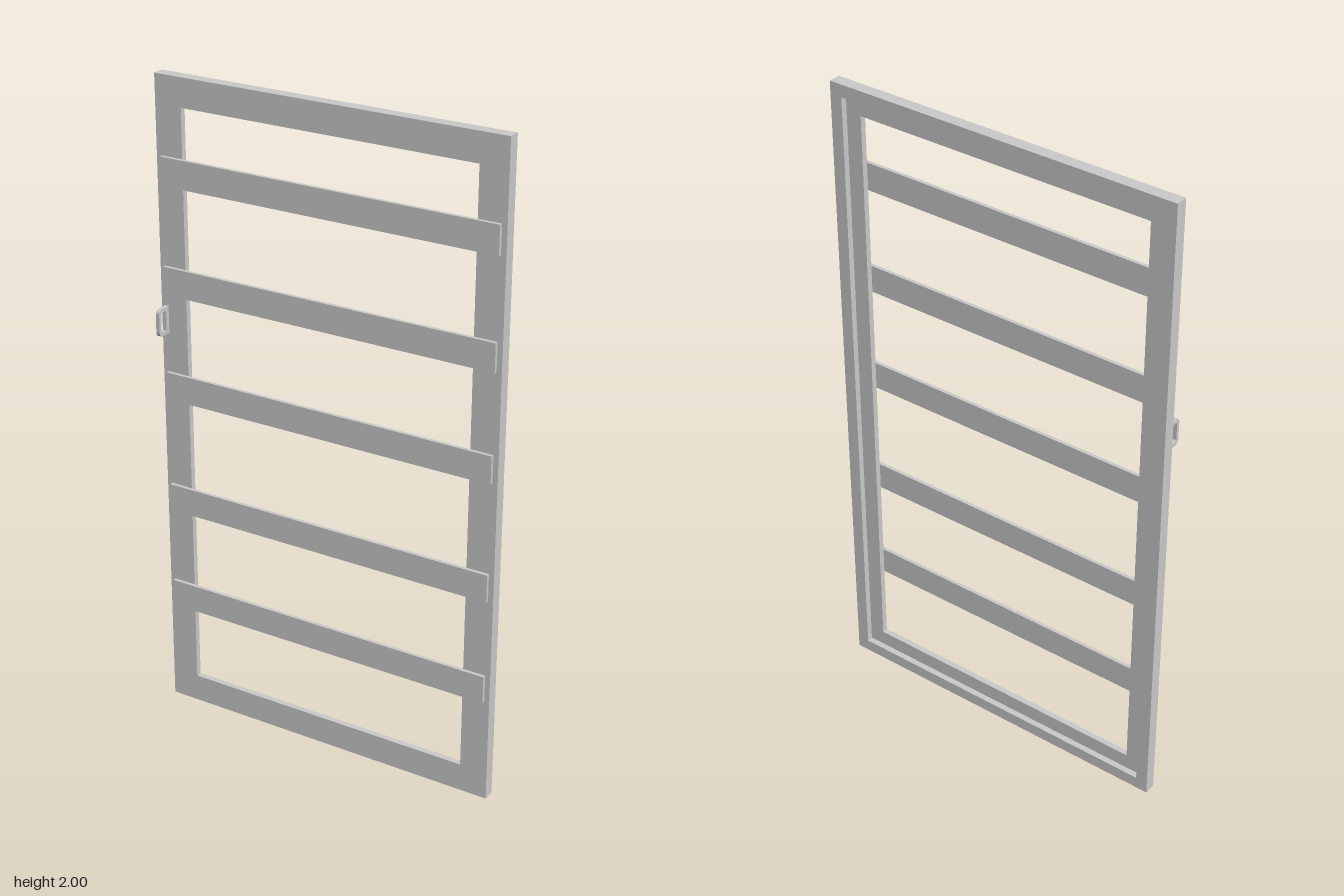
import * as THREE from 'three';

const material = new THREE.MeshStandardMaterial({ color: 0xcccccc, flatShading: true });

// Adds a rectangle, optionally with cut corners on its right side, to a Shape or Path.
function rect(path, x0, y0, x1, y1, cut = 0) {
  path.moveTo(x0, y0);
  path.lineTo(x1 - cut, y0);
  if (cut) path.quadraticCurveTo(x1, y0, x1, y0 + cut);
  else path.lineTo(x1, y0);
  path.lineTo(x1, y1 - cut);
  if (cut) path.quadraticCurveTo(x1, y1, x1 - cut, y1);
  else path.lineTo(x1, y1);
  path.lineTo(x0, y1);
  path.closePath();
  return path;
}

// Mitred picture frame: an L-shaped section carried around the four corners.
// Each section point is [inset from the outer edge, z].
function mitredFrame(width, height, section) {
  const positions = [];
  const corner = (k, [inset, z]) => {
    const sx = k === 0 || k === 3 ? -1 : 1;
    const sy = k < 2 ? -1 : 1;
    return [sx * (width / 2 - inset), height / 2 + sy * (height / 2 - inset), z];
  };
  for (let k = 0; k < 4; k++) {
    const next = (k + 1) % 4;
    section.forEach((p, i) => {
      const q = section[(i + 1) % section.length];
      const a = corner(k, p), b = corner(next, p), c = corner(next, q), d = corner(k, q);
      positions.push(...a, ...b, ...c, ...a, ...c, ...d);
    });
  }
  const geometry = new THREE.BufferGeometry();
  geometry.setAttribute('position', new THREE.Float32BufferAttribute(positions, 3));
  geometry.computeVertexNormals();
  return geometry;
}

export function createModel() {
  const model = new THREE.Group();
  model.name = 'slattedDoor';
  const add = (name, geometry) => {
    const mesh = new THREE.Mesh(geometry, material);
    mesh.name = name;
    model.add(mesh);
    return mesh;
  };

  // Frame: flat at the front, with a rebate around the opening at the back
  const front = -0.005, step = -0.023, back = -0.042;
  add('frame', mitredFrame(1.108, 2, [
    [0, back], [0, front], [0.087, front], [0.087, step], [0.038, step], [0.038, back],
  ]));

  // Cross slats fixed to the front
  const slats = new THREE.Group();
  slats.name = 'slats';
  model.add(slats);
  for (const y of [0.369, 0.697, 1.063, 1.393, 1.722]) {
    const slat = add('slat', new THREE.BoxGeometry(1.076, 0.086, 0.011));
    slat.position.set(0, y, front + 0.0055);
    slats.add(slat);
  }

  // Pull handle: a closed loop with rounded outer corners, drawn in depth and height
  const loop = rect(new THREE.Shape(), front, 1.229, 0.042, 1.313, 0.015);
  loop.holes.push(rect(new THREE.Path(), 0.008, 1.24, 0.032, 1.302, 0.008));
  const handle = add('handle', new THREE.ExtrudeGeometry(loop, {
    depth: 0.012, bevelEnabled: false, curveSegments: 4,
  }));
  handle.rotation.y = -Math.PI / 2;
  handle.position.x = -0.531;

  return model;
}
